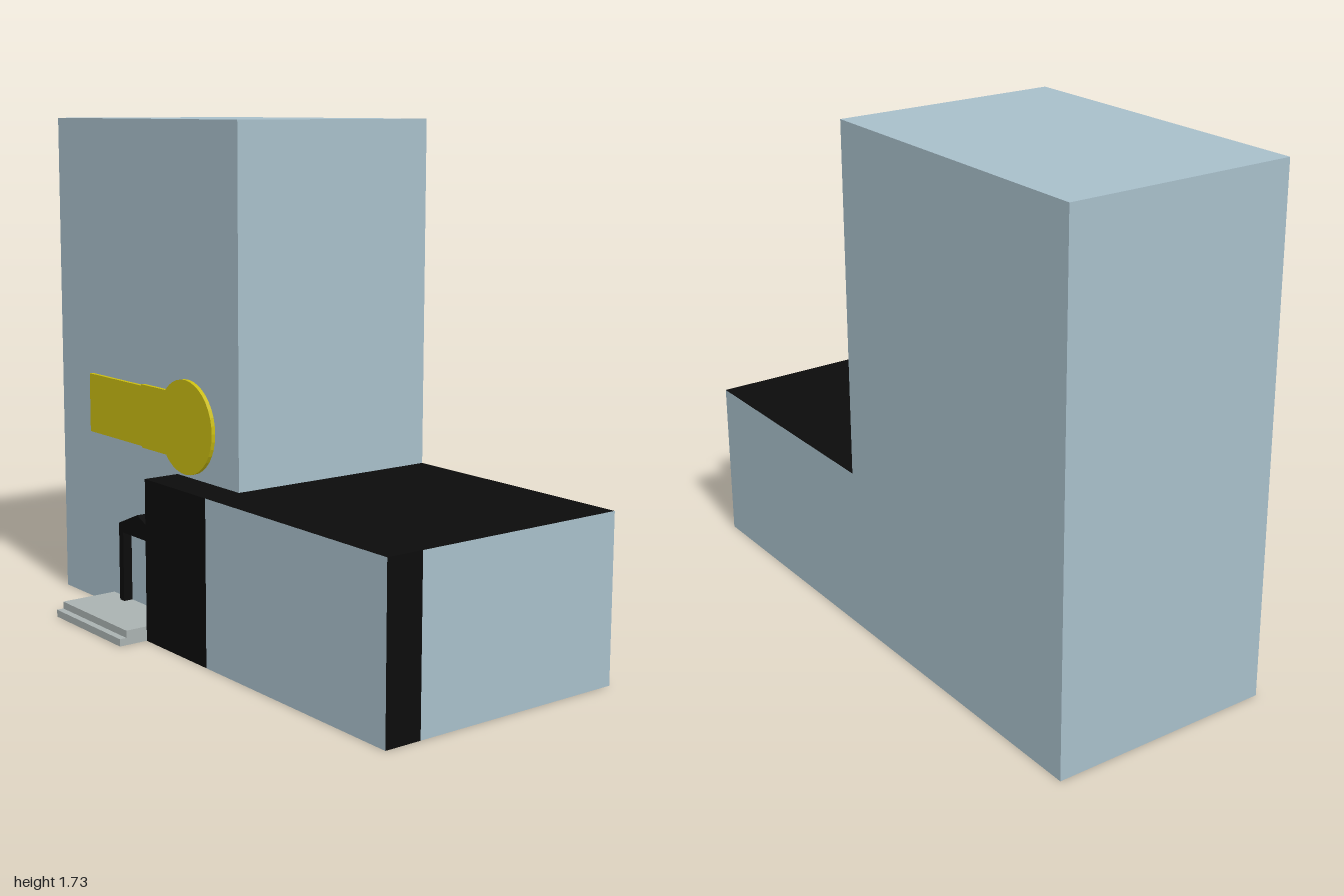
import * as THREE from 'three';

const paint = (color) => new THREE.MeshStandardMaterial({ color, side: THREE.DoubleSide, flatShading: true });

export function createModel() {
  const model = new THREE.Group();
  const wall = paint(0xa8bfca), black = paint(0x0b0b0b), yellow = paint(0xc9bc12), stone = paint(0xaab2b1);

  // main lines of the building
  const L = -1, R = 1, towerR = 0.115, bayL = -0.24;
  const back = -0.505, mid = 0.27, front = 0.4;
  const low = 0.555, high = 1.73;

  const add = (name, geometry, material) => {
    const mesh = new THREE.Mesh(geometry, material);
    mesh.name = name;
    model.add(mesh);
    return mesh;
  };
  const outline = (points) => new THREE.Shape(points.map(([x, y]) => new THREE.Vector2(x, y)));
  const rect = (a, b, c, d) => [[a, b], [c, b], [c, d], [a, d]];

  // thin panels: facing z (x, y), facing x (z, y) and facing y (x, z)
  const panelZ = (name, points, z, material) =>
    add(name, new THREE.ShapeGeometry(outline(points)).translate(0, 0, z), material);
  const panelX = (name, z0, z1, y0, y1, x, material) =>
    add(name, new THREE.PlaneGeometry(z1 - z0, y1 - y0).rotateY(x < 0 ? -Math.PI / 2 : Math.PI / 2)
      .translate(x, (y0 + y1) / 2, (z0 + z1) / 2), material);
  const panelY = (name, x0, x1, z0, z1, y, material) =>
    add(name, new THREE.PlaneGeometry(x1 - x0, z1 - z0).rotateX(-Math.PI / 2)
      .translate((x0 + x1) / 2, y, (z0 + z1) / 2), material);

  // hollow tower and low wing, open underneath
  panelZ('backWall', [[R, 0], [L, 0], [L, high], [towerR, high], [towerR, low], [R, low]], back, wall)
    .geometry.rotateY(Math.PI).scale(-1, 1, -1);
  panelZ('towerFrontWall', [[L, 0], [bayL, 0], [bayL, low], [towerR, low], [towerR, high], [L, high]], mid, wall);
  panelX('towerRightWall', back, mid, 0, high, L, wall);
  panelX('towerLeftWall', back, mid, low, high, towerR, wall);
  panelY('towerRoof', L, towerR, back, mid, high, wall);
  panelZ('wingFrontWall', rect(towerR, 0, R, low), front, wall);
  panelX('wingSideWall', back, mid, 0, low, R, wall);

  // black bay, corner strip and flat roof of the wing
  panelZ('bayFront', rect(bayL, 0, towerR, low), front, black);
  panelX('baySide', mid, front, 0, low, bayL, black);
  panelX('cornerStrip', mid, front, 0, low, R, black);
  panelY('wingRoof', towerR, R, back, front, low, black);
  panelY('bayRoof', bayL, towerR, mid, front, low, black);

  const extrude = (shape, depth) =>
    new THREE.ExtrudeGeometry(shape, { depth, bevelEnabled: false, curveSegments: 14 }).translate(0, 0, mid);

  // sign: a flat bar running into a disc
  const sign = outline([[-0.285, 0.835], [-0.44, 0.835], [-0.44, 0.83], [-0.785, 0.83],
    [-0.785, 0.62], [-0.44, 0.62], [-0.44, 0.615], [-0.285, 0.615]]);
  sign.absarc(-0.175, 0.725, 0.159, -Math.PI * 0.75, Math.PI * 0.75, false);
  add('sign', extrude(sign, 0.014), yellow);

  // gabled door frame
  const frame = outline([[-0.567, 0.05], [-0.54, 0.05], [-0.54, 0.298], [-0.354, 0.298], [-0.354, 0.05],
    [-0.327, 0.05], [-0.327, 0.328], [-0.447, 0.378], [-0.567, 0.328]]);
  add('doorFrame', extrude(frame, 0.034), black);

  // two entrance steps
  [[0.505, 0], [0.48, 0.025]].forEach(([z, y], i) => {
    add(i ? 'upperStep' : 'lowerStep', new THREE.BoxGeometry(bayL + 0.662, 0.025, z - mid)
      .translate((bayL - 0.662) / 2, y + 0.0125, (z + mid) / 2), stone);
  });
  return model;
}
